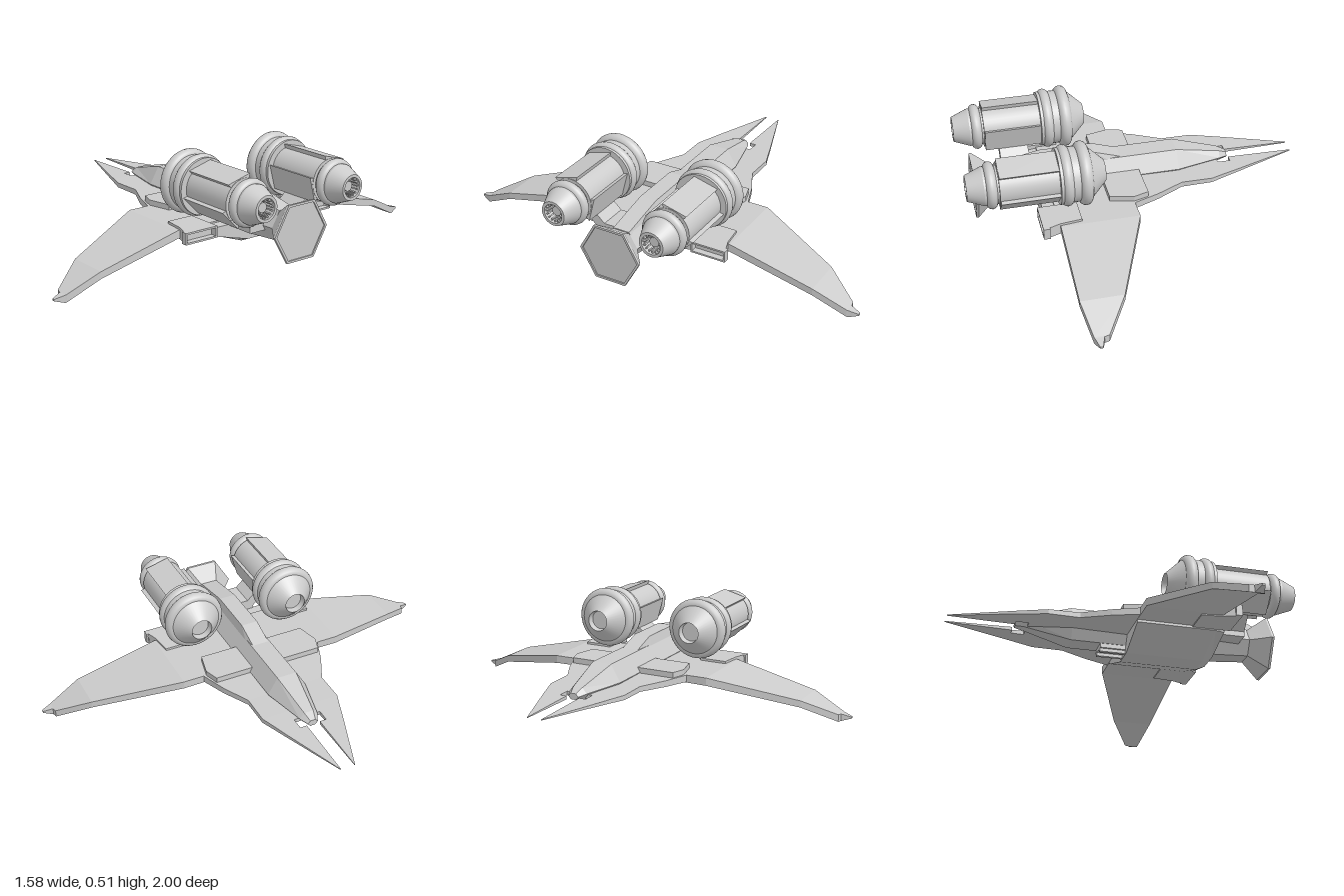
import * as THREE from 'three';

const flat = new THREE.MeshStandardMaterial({ color: 0xcccccc, flatShading: true });
const smooth = new THREE.MeshStandardMaterial({ color: 0xcccccc, side: THREE.DoubleSide });

function add(parent, name, geometry, material = flat) {
  const mesh = new THREE.Mesh(geometry, material);
  mesh.name = name;
  parent.add(mesh);
  return mesh;
}

// Skin a series of closed cross-sections, cap both ends, face outwards
function loft(rings) {
  const n = rings[0].length, pos = rings.flat(2), index = [];
  for (let r = 0; r < rings.length - 1; r++) {
    for (let i = 0; i < n; i++) {
      const a = r * n + i, b = r * n + (i + 1) % n;
      index.push(a, b, a + n, b, b + n, a + n);
    }
  }
  const last = (rings.length - 1) * n;
  for (let i = 1; i < n - 1; i++) index.push(0, i + 1, i, last, last + i, last + i + 1);
  const p = (i) => new THREE.Vector3().fromArray(pos, i * 3);
  let volume = 0;
  for (let i = 0; i < index.length; i += 3) {
    volume += p(index[i]).dot(p(index[i + 1]).cross(p(index[i + 2])));
  }
  if (volume < 0) index.reverse();
  const g = new THREE.BufferGeometry();
  g.setAttribute('position', new THREE.Float32BufferAttribute(pos, 3));
  g.setIndex(index);
  const out = g.toNonIndexed();
  out.computeVertexNormals();
  return out;
}

// Hexagonal section across the hull, with side corners at half width w
const hex = (x, bottom, top, w) => {
  const m = (bottom + top) / 2;
  return [[x, m, w], [x, top, w / 2], [x, top, -w / 2], [x, m, -w], [x, bottom, -w / 2], [x, bottom, w / 2]];
};
// Rectangular section at one x
const rect = (x, z0, z1, y0, y1) => [[x, y0, z0], [x, y0, z1], [x, y1, z1], [x, y1, z0]];

// Flat outline in (x, z) raised from y0 to y1
const slab = (pts, y0, y1) => loft([y0, y1].map((y) => pts.map(([x, z]) => [x, y, z])));

function box(parent, name, x0, x1, y0, y1, z0, z1) {
  const m = add(parent, name, new THREE.BoxGeometry(x1 - x0, y1 - y0, z1 - z0));
  m.position.set((x0 + x1) / 2, (y0 + y1) / 2, (z0 + z1) / 2);
  return m;
}

// Surface of revolution along x from [x, radius] points, with sharp profile corners
function turned(parent, name, pts) {
  for (let i = 0; i < pts.length - 1; i++) {
    const seg = [pts[i], pts[i + 1]].map(([x, r]) => new THREE.Vector2(r, x));
    add(parent, name, new THREE.LatheGeometry(seg, 40), smooth).rotation.z = -Math.PI / 2;
  }
}

function ring(parent, name, x, outer, halfLength) {
  const m = add(parent, name, new THREE.TorusGeometry(outer - halfLength, halfLength, 14, 40), smooth);
  m.rotation.y = Math.PI / 2;
  m.position.x = x;
}

function engine() {
  const g = new THREE.Group();
  g.name = 'engine';
  turned(g, 'intakeCowl', [[0.2, 0], [0.2, 0.045], [0.17, 0.05], [0.245, 0.122], [0.385, 0.128], [0.385, 0]]);
  ring(g, 'frontRing', 0.268, 0.145, 0.029);
  ring(g, 'secondRing', 0.35, 0.139, 0.026);
  turned(g, 'engineCore', [[0.38, 0.1], [0.65, 0.1], [0.65, 0]]);
  // Three flat armour plates around the core
  for (const deg of [75, 195, 315]) {
    const at = (d, r) => {
      const a = THREE.MathUtils.degToRad(deg + d);
      return [Math.sin(a) * r, Math.cos(a) * r];
    };
    const corners = [at(-30, 0.12), at(30, 0.12), at(30, 0.08), at(-30, 0.08)];
    add(g, 'armourPlate', loft([0.385, 0.648].map((x) => corners.map(([y, z]) => [x, y, z]))));
  }
  ring(g, 'nozzleRing', 0.682, 0.106, 0.024);
  turned(g, 'nozzle', [[0.65, 0.085], [0.715, 0.088], [0.79, 0.058], [0.79, 0.045], [0.72, 0.05], [0.72, 0]]);
  turned(g, 'nozzlePlug', [[0.72, 0.028], [0.765, 0.022], [0.765, 0]]);
  // Vanes inside the nozzle
  for (let i = 0; i < 16; i++) {
    const a = (i / 16) * Math.PI * 2;
    const vane = box(g, 'nozzleVane', 0.725, 0.78, -0.003, 0.003, -0.007, 0.007);
    vane.position.y = Math.sin(a) * 0.042;
    vane.position.z = Math.cos(a) * 0.042;
    vane.rotation.x = -a;
  }
  g.position.set(0, 0.37, 0.245);
  return g;
}

// Everything on the +z side
function sideParts() {
  const g = new THREE.Group();
  g.name = 'side';

  // Forked nose plate: x, inner z, outer z, bottom, top
  const plate = [
    [-0.79, 0.033, 0.036, 0.19, 0.194], [-0.48, 0.033, 0.147, 0.184, 0.2],
    [-0.48, 0.065, 0.147, 0.184, 0.2], [-0.42, 0.065, 0.167, 0.182, 0.201],
    [-0.42, 0, 0.167, 0.182, 0.201], [-0.355, 0, 0.19, 0.18, 0.202],
    [-0.21, 0, 0.19, 0.178, 0.203], [-0.08, 0, 0.255, 0.176, 0.205],
    [0.04, 0, 0.3, 0.174, 0.207], [0.4, 0, 0.3, 0.172, 0.207],
  ];
  add(g, 'nosePlate', loft(plate.map((s) => rect(...s))));

  // Drooping wing: z, leading x, trailing x, bottom, top
  const wing = [
    [0.25, 0.04, 0.4, 0.172, 0.207], [0.4, 0.04, 0.4, 0.17, 0.207],
    [0.8, 0.205, 0.4, 0.08, 0.112], [0.95, 0.305, 0.372, 0.006, 0.04],
    [0.955, 0.328, 0.37, 0.004, 0.038], [1, 0.343, 0.356, 0.018, 0.026],
  ];
  add(g, 'wing', loft(wing.map(([z, a, b, y0, y1]) => [[a, y0, z], [b, y0, z], [b, y1, z], [a, y1, z]])));

  add(g, 'upperPanel', slab([[-0.03, 0.07], [-0.03, 0.265], [0.04, 0.287], [0.15, 0.262], [0.15, 0.07]], 0.2, 0.232));

  // Open block at the wing root's trailing edge
  add(g, 'wingRootBlock', slab([[0.3, 0.25], [0.3, 0.38], [0.4, 0.392], [0.45, 0.41], [0.45, 0.25]], 0.165, 0.218));
  box(g, 'blockLip', 0.45, 0.48, 0.21, 0.218, 0.25, 0.42);
  box(g, 'blockLip', 0.45, 0.48, 0.165, 0.173, 0.25, 0.42);
  box(g, 'blockLip', 0.45, 0.48, 0.173, 0.21, 0.25, 0.258);
  box(g, 'blockLip', 0.45, 0.48, 0.173, 0.21, 0.412, 0.42);

  // Slanted arm from hull to engine
  const arm = [[0.19, 0.06], [0.32, 0.2], [0.29, 0.23], [0.19, 0.13]];
  add(g, 'enginePylon', loft([0.45, 0.585].map((x) => arm.map(([y, z]) => [x, y, z]))));
  box(g, 'pylonFoot', 0.45, 0.585, 0.19, 0.25, 0.05, 0.155);

  box(g, 'bellyRail', -0.08, 0.04, 0.095, 0.11, 0.02, 0.035);
  g.add(engine());
  return g;
}

export function createModel() {
  const model = new THREE.Group();
  model.name = 'starfighter';

  // Hexagonal fuselage with its waist
  add(model, 'fuselage', loft([
    hex(-0.475, 0.187, 0.215, 0.025), hex(-0.435, 0.182, 0.234, 0.045), hex(-0.22, 0.13, 0.29, 0.095),
    hex(0.4, 0.13, 0.29, 0.095), hex(0.64, 0.147, 0.28, 0.08),
  ]));

  // Flared tail with a shallow rim
  add(model, 'tailFlare', loft([
    hex(0.64, 0.147, 0.28, 0.08), hex(0.727, 0.078, 0.338, 0.15), hex(0.738, 0.078, 0.338, 0.15),
    hex(0.738, 0.088, 0.328, 0.138), hex(0.732, 0.088, 0.328, 0.138),
  ]));

  // Raised spine between the engines
  add(model, 'spine', loft([[0.05, 0.29], [0.17, 0.33], [0.42, 0.33], [0.64, 0.285]].map(([x, top]) =>
    [[x, 0.24, 0.06], [x, top, 0.04], [x, top, -0.04], [x, 0.24, -0.06]])));

  // Lower hull with sloping sides
  add(model, 'lowerHull', loft([[0.04, 0.09, 0.25], [0.41, 0.09, 0.25], [0.455, 0.11, 0.24]].map(([x, y, w]) =>
    [[x, 0.2, w], [x, 0.2, -w], [x, 0.16, -w], [x, y, -0.055], [x, y, 0.055], [x, 0.16, w]])));
  box(model, 'bellyBox', -0.08, 0.04, 0.11, 0.14, -0.045, 0.045);

  for (const s of [1, -1]) {
    const side = sideParts();
    side.name = s > 0 ? 'leftSide' : 'rightSide';
    side.scale.z = s;
    model.add(side);
  }
  return model;
}
